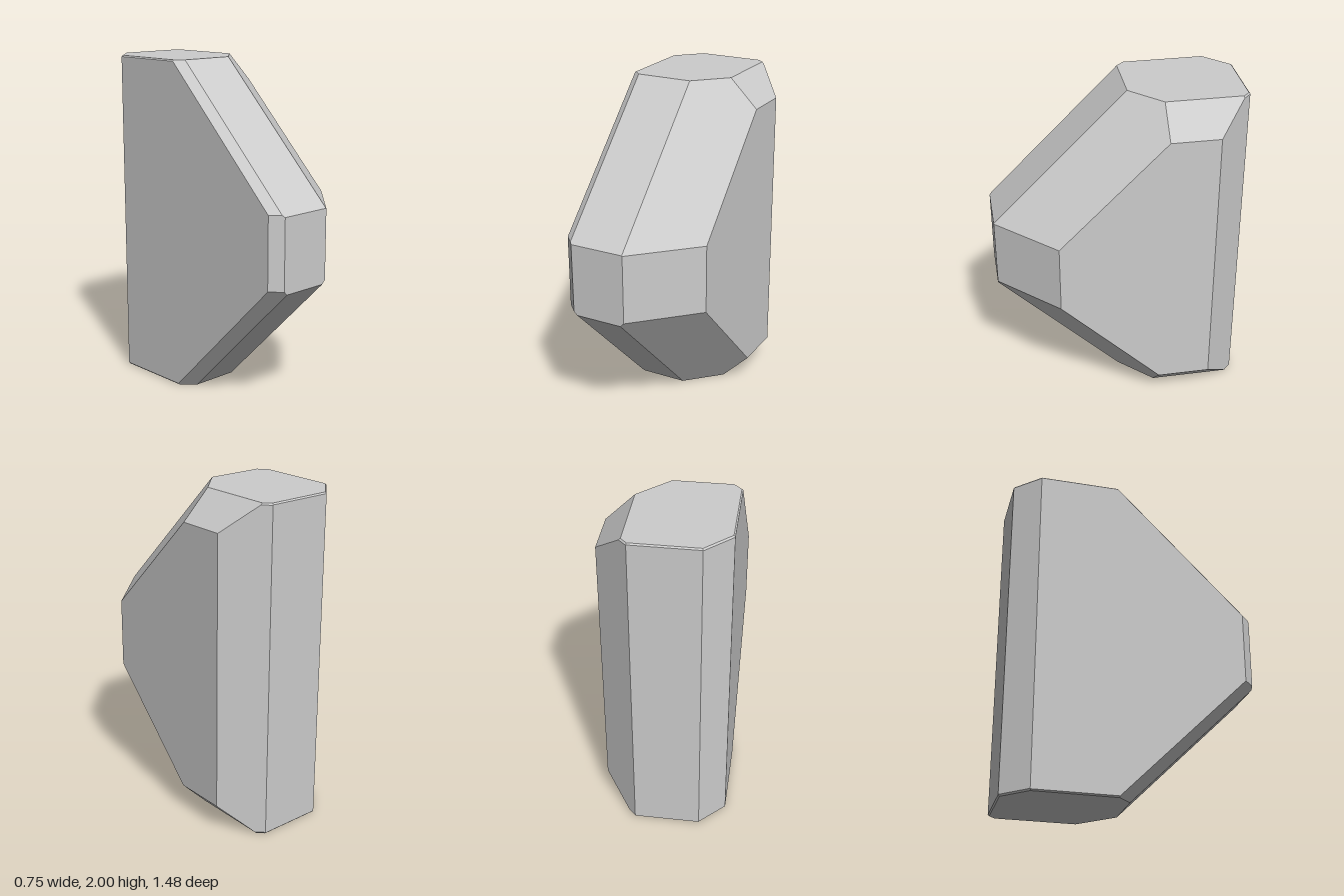
import * as THREE from 'three';

// Bounding planes of the faceted block: normal (x, y, z) and limit, so n . p <= limit
const PLANES = [
  // flat sides
  [1, 0, 0, 0.373], [-1, 0, 0, 0.375], [0, 1, 0, 2], [0, -1, 0, 0], [0, 0, 1, 0.74], [0, 0, -1, 0.737],
  // bevels along the edges
  [1, 1, 0, 2.203], [1, -1, 0, 0.202], [-1, 1, 0, 2.367], [-1, -1, 0, 0.367],
  [0, 1, 1, 1.939], [0, -1, 1, -0.015], [0, 1, -1, 2.729], [0, -1, -1, 0.729],
  [1, 0, 1, 0.766], [-1, 0, 1, 1.05], [1, 0, -1, 0.905], [-1, 0, -1, 0.963],
  // cut corners
  [1, 1, 1, 1.962], [-1, 1, 1, 2.26], [1, -1, 1, -0.012], [-1, -1, 1, 0.274],
  [1, 1, -1, 2.895], [-1, 1, -1, 2.953], [1, -1, -1, 0.893], [-1, -1, -1, 0.953],
].map(([x, y, z, d]) => ({ n: new THREE.Vector3(x, y, z), d }));

// Point shared by three planes, or null if they do not meet in one point
function meet(a, b, c) {
  const bc = b.n.clone().cross(c.n);
  const det = a.n.dot(bc);
  if (Math.abs(det) < 1e-6) return null;
  return bc.multiplyScalar(a.d)
    .addScaledVector(c.n.clone().cross(a.n), b.d)
    .addScaledVector(a.n.clone().cross(b.n), c.d)
    .divideScalar(det);
}

function facetedGeometry(planes) {
  // Corners of the solid
  const corners = [];
  for (let i = 0; i < planes.length; i++)
    for (let j = i + 1; j < planes.length; j++)
      for (let k = j + 1; k < planes.length; k++) {
        const p = meet(planes[i], planes[j], planes[k]);
        if (!p || planes.some((q) => q.n.dot(p) > q.d + 1e-6)) continue;
        if (!corners.some((c) => c.distanceTo(p) < 1e-5)) corners.push(p);
      }

  // One flat polygon per plane, its corners sorted around the normal
  const positions = [];
  for (const { n, d } of planes) {
    const ring = corners.filter((p) => Math.abs(n.dot(p) - d) < 1e-5);
    if (ring.length < 3) continue;
    const mid = ring.reduce((s, p) => s.add(p), new THREE.Vector3()).divideScalar(ring.length);
    const u = ring[0].clone().sub(mid).normalize();
    const v = n.clone().normalize().cross(u);
    const angle = (p) => Math.atan2(p.clone().sub(mid).dot(v), p.clone().sub(mid).dot(u));
    ring.sort((a, b) => angle(a) - angle(b));
    for (let i = 1; i < ring.length - 1; i++)
      for (const p of [ring[0], ring[i], ring[i + 1]]) positions.push(p.x, p.y, p.z);
  }
  const geometry = new THREE.BufferGeometry();
  geometry.setAttribute('position', new THREE.Float32BufferAttribute(positions, 3));
  geometry.computeVertexNormals();
  return geometry;
}

export function createModel() {
  const grey = new THREE.MeshStandardMaterial({ color: 0xcccccc });
  grey.name = 'light grey';
  const block = new THREE.Mesh(facetedGeometry(PLANES), grey);
  block.name = 'facetedBlock';
  const model = new THREE.Group();
  model.name = 'facetedStone';
  model.add(block);
  return model;
}
